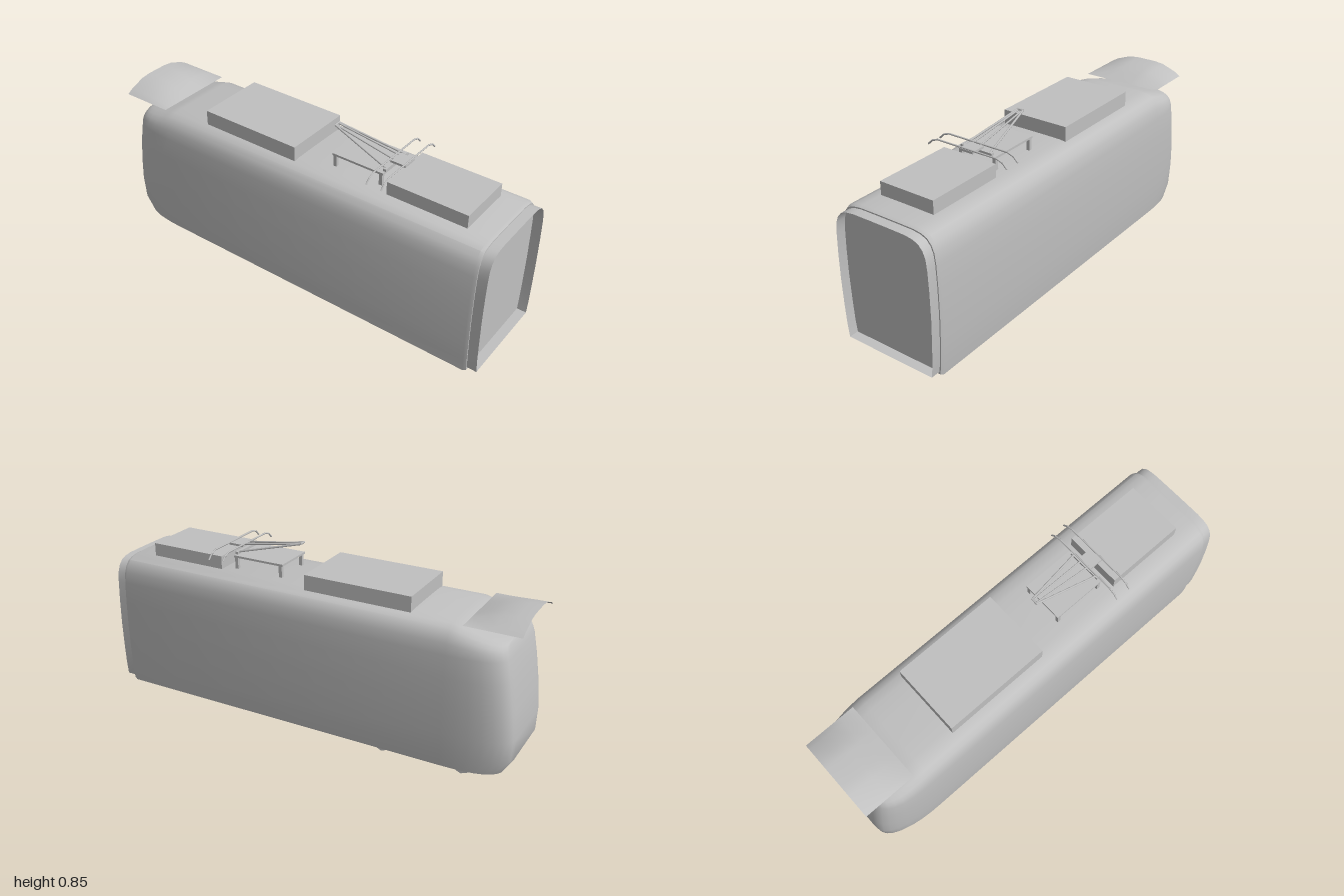
import * as THREE from 'three';
import { toCreasedNormals } from 'three/addons/utils/BufferGeometryUtils.js';

const grey = new THREE.MeshStandardMaterial({ color: 0xc0c0c0, side: THREE.DoubleSide });
grey.name = 'plain grey';

// Half cross-section of the car, from the floor edge up to the roof
const half = [
  [0.236, 0.055], [0.243, 0.12], [0.248, 0.22], [0.252, 0.35], [0.251, 0.48], [0.247, 0.58],
  [0.241, 0.63], [0.228, 0.662], [0.208, 0.685], [0.18, 0.697], [0.14, 0.703], [0.05, 0.704],
];
const section = [...half, ...half.slice().reverse().map(([x, y]) => [-x, y])];

// Joins rings of [x, y, z] running towards -z, optionally closing both ends
function loft(rings, capped) {
  const n = rings[0].length, index = [];
  const quad = (a, b, c, d) => index.push(a, b, c, a, c, d);
  for (let k = 0; k < rings.length - 1; k++) {
    for (let i = 0; i < n; i++) {
      const j = (i + 1) % n;
      quad(k * n + i, (k + 1) * n + i, (k + 1) * n + j, k * n + j);
    }
  }
  if (capped) {
    const e = (rings.length - 1) * n;
    for (let i = 0; i < n / 2 - 1; i++) {
      quad(i, i + 1, n - 2 - i, n - 1 - i);
      quad(e + n - 1 - i, e + n - 2 - i, e + i + 1, e + i);
    }
  }
  const g = new THREE.BufferGeometry();
  g.setAttribute('position', new THREE.Float32BufferAttribute(rings.flat(2), 3));
  g.setIndex(index);
  return toCreasedNormals(g, 0.6);
}

// Height to z of the cab nose
const nose = [[0.05, -0.95], [0.08, -0.978], [0.12, -0.994], [0.18, -1], [0.3, -0.991],
  [0.45, -0.97], [0.58, -0.945], [0.61, -0.936], [0.645, -0.922]];
function noseZ(y) {
  const i = Math.max(1, nose.findIndex(p => p[0] >= y));
  const [a, b] = [nose[i - 1], nose[i]];
  return THREE.MathUtils.mapLinear(y, a[0], b[0], a[1], b[1]);
}

function bodyGeometry() {
  const straight = (z, s) => section.map(([x, y]) => [x * s, 0.38 + (y - 0.38) * s, z]);
  // Cab rings: share of the nose depth, share of the width
  const cab = [[0.2, 0.996], [0.4, 0.98], [0.6, 0.95], [0.75, 0.9], [0.86, 0.84],
    [0.94, 0.765], [0.985, 0.68], [1, 0.58]].map(([s, w]) => section.map(([x, y]) => {
    const droop = Math.max(0, (y - 0.58) / 0.124) * 0.066;
    return [x * w, y - droop * s, -0.7 + (noseZ(y - droop) + 0.7) * s];
  }));
  return loft([straight(0.955, 0.98), straight(0.94, 1), straight(-0.7, 1), ...cab], true);
}

export function createModel() {
  const model = new THREE.Group();
  model.name = 'tramCar';

  const add = (name, geometry, x = 0, y = 0, z = 0) => {
    const mesh = new THREE.Mesh(geometry, grey);
    mesh.name = name;
    mesh.position.set(x, y, z);
    model.add(mesh);
    return mesh;
  };
  // Box given by its limits on each axis
  const box = (name, x0, x1, y0, y1, z0, z1) => add(name,
    new THREE.BoxGeometry(x1 - x0, y1 - y0, z1 - z0), (x0 + x1) / 2, (y0 + y1) / 2, (z0 + z1) / 2);
  // Round bar through straight runs between points
  const bar = (name, points, r) => {
    const path = new THREE.CurvePath();
    const p = points.map(v => new THREE.Vector3(...v));
    for (let i = 1; i < p.length; i++) path.add(new THREE.LineCurve3(p[i - 1], p[i]));
    return add(name, new THREE.TubeGeometry(path, p.length > 2 ? 32 : 1, r, 6), 0, 0, 0);
  };

  add('body', bodyGeometry());

  // Open gangway collar at the coupling end
  const collar = z => section.map(([x, y]) => [x * 0.96, 0.383 + (y - 0.38) * 0.953, z]);
  add('gangwayCollar', loft([collar(1), collar(0.945)], false));

  // Arched visor above the cab, rising towards the nose
  const arch = [[-0.2, 0], [-0.17, 0.018], [-0.1, 0.044], [-0.05, 0.05], [0.05, 0.05], [0.1, 0.044], [0.17, 0.018], [0.2, 0]];
  const rows = [[-0.75, 0], [-0.82, 0.5], [-0.88, 0.8], [-0.94, 0.95], [-1, 1]];
  const visor = new THREE.PlaneGeometry(1, 1, arch.length - 1, rows.length - 1);
  rows.forEach(([z, lift], r) => arch.forEach(([x, h], c) => {
    visor.attributes.position.setXYZ((rows.length - 1 - r) * arch.length + c, x, 0.704 + h * lift, z);
  }));
  // Turn the sheet so that its upper side is the front
  visor.setIndex(Array.from(visor.index.array).reverse());
  visor.computeVertexNormals();
  if (visor.attributes.normal.getY(10) < 0) {
    visor.setIndex(Array.from(visor.index.array).reverse());
    visor.computeVertexNormals();
  }
  add('cabVisor', visor);

  // Roof equipment
  box('rearRoofBox', -0.168, 0.168, 0.695, 0.77, -0.51, 0);
  box('frontRoofBox', -0.137, 0.137, 0.695, 0.765, 0.457, 0.84);

  // Pantograph table
  box('pantographTable', -0.1, 0.1, 0.757, 0.767, 0.152, 0.412);
  for (const x of [-0.09, 0.09]) {
    for (const z of [0.165, 0.4]) box('tableLeg', x - 0.008, x + 0.008, 0.695, 0.76, z - 0.008, z + 0.008);
  }
  box('pantographBase', -0.083, 0.083, 0.767, 0.779, 0.4, 0.416);

  // Pantograph arms
  for (const s of [-1, 1]) {
    bar('outerArm', [[s * 0.07, 0.776, 0.41], [s * 0.014, 0.847, 0.105]], 0.005);
    bar('innerArm', [[s * 0.021, 0.798, 0.41], [s * 0.009, 0.845, 0.11]], 0.004);
  }
  bar('armTopBar', [[-0.017, 0.848, 0.105], [0.017, 0.848, 0.105]], 0.005);
  box('bowLink', -0.036, 0.036, 0.788, 0.798, 0.405, 0.48);

  // Collector bows with drooping horns
  for (const z of [0.402, 0.475]) {
    const horn = [[0.208, 0.768], [0.186, 0.79], [0.155, 0.801]];
    const points = [...horn.map(([x, y]) => [-x, y, z]), ...horn.reverse().map(([x, y]) => [x, y, z])];
    for (let i = 1; i < points.length; i++) bar('collectorBow', [points[i - 1], points[i]], 0.004);
  }

  // Wheels
  const wheel = new THREE.CylinderGeometry(0.058, 0.058, 0.02, 8).rotateZ(Math.PI / 2);
  for (const x of [-0.16, 0.16]) {
    for (const z of [-0.395, -0.775]) add('wheel', wheel, x, 0.058, z);
  }

  return model;
}
